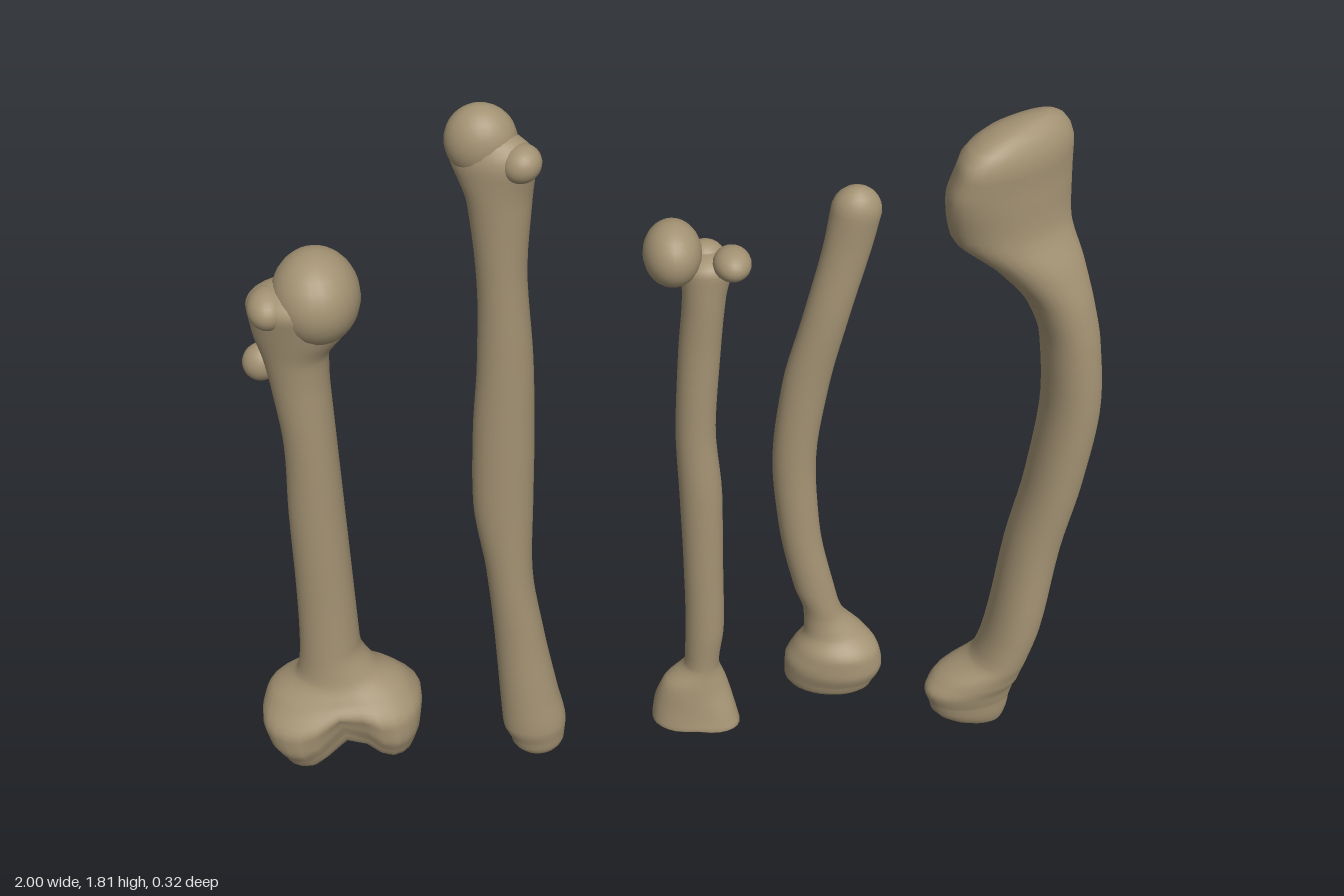
import * as THREE from 'three';

const bone = new THREE.MeshStandardMaterial({ color: 0xa39273 });
bone.name = 'bone tan';

const SIDES = 28, STEPS = 5, CAP = 6;

// Smooth, overshoot-free interpolation of the rows by height
function refine(rows) {
  const full = rows.map(r => [...r.slice(0, 5), r[5] ?? 0, r[6] ?? 1]);
  const slope = (i, k) => (full[i + 1][k] - full[i][k]) / (full[i + 1][0] - full[i][0]);
  const tangent = (i, k) => {
    if (i === 0) return slope(0, k);
    if (i === full.length - 1) return slope(i - 1, k);
    const a = slope(i - 1, k), b = slope(i, k);
    return a * b <= 0 ? 0 : 2 * a * b / (a + b);
  };
  const out = [];
  for (let i = 0; i < full.length - 1; i++) {
    const A = full[i], B = full[i + 1], h = B[0] - A[0];
    for (let s = 0; s < STEPS; s++) {
      const t = s / STEPS, t2 = t * t, t3 = t2 * t;
      out.push(A.map((a, k) => k === 0 ? a + h * t :
        a * (2 * t3 - 3 * t2 + 1) + B[k] * (3 * t2 - 2 * t3) +
        h * (tangent(i, k) * (t3 - 2 * t2 + t) + tangent(i + 1, k) * (t3 - t2))));
    }
  }
  out.push(full[full.length - 1]);
  return out;
}

// Rounded end: rings that shrink toward an apex [x, y, z]
function dome(row, [ax, ay, az]) {
  const rings = [];
  for (let i = 1; i < CAP; i++) {
    const f = i / CAP * Math.PI / 2, c = Math.cos(f), m = 1 - c, r = [...row];
    r[0] = row[0] + (ay - row[0]) * Math.sin(f);
    for (const [k, a] of [[1, ax], [2, ax], [3, az], [4, az]]) r[k] = row[k] * c + a * m;
    rings.push(r);
  }
  return rings;
}

// Loft of rows [y, xMin, xMax, zMin, zMax, shear, squareness] from bottom to top
function loft(name, rows, bottom, top, warp) {
  const mid = refine(rows);
  const rings = [...dome(mid[0], bottom).reverse(), ...mid, ...dome(mid[mid.length - 1], top)];
  const pos = [], idx = [], v = new THREE.Vector3();
  const add = (x, y, z) => { v.set(x, y, z); if (warp) warp(v); pos.push(v.x, v.y, v.z); };
  for (const [y, x0, x1, z0, z1, k, e] of rings) {
    for (let j = 0; j < SIDES; j++) {
      const a = j / SIDES * Math.PI * 2, c = Math.cos(a), s = Math.sin(a);
      const dx = Math.sign(c) * Math.abs(c) ** e * (x1 - x0) / 2;
      const dz = Math.sign(s) * Math.abs(s) ** e * (z1 - z0) / 2;
      add((x0 + x1) / 2 + dx, y, (z0 + z1) / 2 + dz + k * dx);
    }
  }
  const lastRing = (rings.length - 1) * SIDES, p0 = rings.length * SIDES, p1 = p0 + 1;
  add(...bottom);
  add(...top);
  for (let j = 0; j < SIDES; j++) {
    const n = (j + 1) % SIDES;
    idx.push(p0, j, n, p1, lastRing + n, lastRing + j);
    for (let i = 0; i < rings.length - 1; i++) {
      const a = i * SIDES + j, b = i * SIDES + n;
      idx.push(a, a + SIDES, b, b, a + SIDES, b + SIDES);
    }
  }
  const g = new THREE.BufferGeometry();
  g.setAttribute('position', new THREE.Float32BufferAttribute(pos, 3));
  g.setIndex(idx);
  g.computeVertexNormals();
  const m = new THREE.Mesh(g, bone);
  m.name = name;
  return m;
}

// Ellipsoid swelling
function knob(name, [x, y, z], [rx, ry, rz], tilt = 0) {
  const m = new THREE.Mesh(new THREE.SphereGeometry(1, 24, 16), bone);
  m.name = name;
  m.position.set(x, y, z);
  m.scale.set(rx, ry, rz);
  m.rotation.z = tilt;
  return m;
}

function group(name, ...parts) {
  const g = new THREE.Group();
  g.name = name;
  g.add(...parts);
  return g;
}

export function createModel() {
  // Thigh bone: the groove between the two lower lobes is pressed in by a rule
  const groove = v => {
    const t = 1 - THREE.MathUtils.smoothstep(v.y, 0.12, 0.32);
    const d = Math.exp(-(((v.x + 0.785) / 0.07) ** 2)) * t;
    v.z *= 1 - 0.38 * d;
    v.y += 0.06 * d;
  };
  const thigh = group('thighBone',
    loft('thighShaft', [
      [0.1, -0.965, -0.63, -0.11, 0.13, -0.05, 0.75],
      [0.15, -0.99, -0.615, -0.135, 0.15, -0.05, 0.75],
      [0.2, -1.0, -0.61, -0.135, 0.15, -0.05, 0.8],
      [0.26, -0.98, -0.64, -0.11, 0.11, 0, 0.9],
      [0.32, -0.905, -0.71, -0.075, 0.08],
      [0.4, -0.89, -0.745, -0.065, 0.07],
      [0.6, -0.88, -0.745, -0.06, 0.065],
      [0.8, -0.875, -0.745, -0.06, 0.065],
      [1.0, -0.865, -0.745, -0.06, 0.065],
      [1.15, -0.875, -0.745, -0.06, 0.065],
      [1.24, -0.885, -0.74, -0.06, 0.07],
      [1.31, -0.9, -0.69, -0.075, 0.085],
      [1.38, -0.905, -0.67, -0.07, 0.1]],
    [-0.8, 0.04, 0], [-0.82, 1.43, 0.02], groove),
    knob('thighHead', [-0.755, 1.385, 0], [0.096, 0.107, 0.112]),
    knob('outerPeak', [-0.855, 1.385, 0.04], [0.045, 0.045, 0.06]),
    knob('sideBump', [-0.895, 1.195, -0.04], [0.042, 0.045, 0.04], -0.5));

  // Shin bone
  const shin = group('shinBone',
    loft('shinShaft', [
      [0.06, -0.395, -0.26, -0.045, 0.065],
      [0.11, -0.412, -0.255, -0.055, 0.075],
      [0.2, -0.415, -0.27, -0.06, 0.07],
      [0.4, -0.42, -0.3, -0.055, 0.06],
      [0.6, -0.43, -0.32, -0.055, 0.06],
      [0.8, -0.45, -0.31, -0.06, 0.06],
      [1.0, -0.44, -0.3, -0.06, 0.06],
      [1.2, -0.42, -0.295, -0.055, 0.06],
      [1.4, -0.41, -0.3, -0.055, 0.06],
      [1.6, -0.42, -0.282, -0.055, 0.065],
      [1.7, -0.452, -0.268, -0.06, 0.07, 0.2]],
    [-0.32, 0.008, 0.02], [-0.37, 1.77, 0]),
    knob('shinHead', [-0.383, 1.74, -0.008], [0.077, 0.08, 0.066]),
    knob('shinCorner', [-0.302, 1.71, 0.045], [0.044, 0.04, 0.045], 0.5));

  // Slender bone with a ball and a side knob on top
  const slender = group('slenderBone',
    loft('slenderShaft', [
      [0.1, -0.036, 0.183, -0.04, 0.09, 0.12, 0.8],
      [0.15, -0.03, 0.17, -0.04, 0.08, 0.1, 0.85],
      [0.22, -0.01, 0.15, -0.035, 0.07],
      [0.28, 0.045, 0.13, -0.03, 0.06],
      [0.4, 0.046, 0.14, -0.025, 0.065],
      [0.6, 0.04, 0.135, -0.025, 0.065],
      [0.8, 0.03, 0.13, -0.03, 0.065],
      [1.0, 0.02, 0.112, -0.03, 0.06],
      [1.2, 0.025, 0.12, -0.03, 0.06],
      [1.35, 0.033, 0.13, -0.035, 0.065],
      [1.42, 0.03, 0.145, -0.035, 0.065]],
    [0.07, 0.085, 0.02], [0.09, 1.455, 0.01],
    v => { if (v.y < 0.12) v.y += 0.1 * Math.max(0, 0.05 - Math.abs(v.x - 0.07)); }),
    knob('slenderBall', [0.012, 1.46, 0.012], [0.064, 0.073, 0.08]),
    knob('slenderKnob', [0.138, 1.447, 0.045], [0.042, 0.036, 0.052]),
    knob('slenderBackKnob', [0.085, 1.43, -0.015], [0.045, 0.04, 0.04]));

  // Bent forearm bone
  const bent = group('bentBone',
    loft('bentShaft', [
      [0.11, 0.316, 0.54, -0.16, -0.025, 0.15],
      [0.16, 0.315, 0.56, -0.178, -0.008, 0.12],
      [0.21, 0.335, 0.55, -0.175, -0.01, 0.1],
      [0.26, 0.36, 0.51, -0.16, -0.045],
      [0.32, 0.357, 0.455, -0.148, -0.06],
      [0.4, 0.33, 0.43, -0.145, -0.06],
      [0.6, 0.285, 0.385, -0.155, -0.065],
      [0.8, 0.265, 0.37, -0.165, -0.07],
      [1.0, 0.28, 0.39, -0.16, -0.07],
      [1.2, 0.322, 0.428, -0.155, -0.065],
      [1.38, 0.36, 0.47, -0.155, -0.07],
      [1.47, 0.373, 0.488, -0.165, -0.068]],
    [0.4, 0.06, -0.1], [0.43, 1.53, -0.115]));

  // Large curved bone with a wide slanted plateau
  const curved = group('curvedBone',
    loft('curvedShaft', [
      [0.11, 0.668, 0.876, -0.035, 0.08, -0.1],
      [0.15, 0.654, 0.885, -0.05, 0.09, -0.1],
      [0.19, 0.68, 0.893, -0.06, 0.095],
      [0.25, 0.77, 0.907, -0.065, 0.095],
      [0.35, 0.795, 0.93, -0.07, 0.095],
      [0.6, 0.82, 0.955, -0.07, 0.085],
      [0.8, 0.85, 0.985, -0.07, 0.09],
      [1.0, 0.862, 1.0, -0.065, 0.095],
      [1.2, 0.84, 0.975, -0.06, 0.1],
      [1.3, 0.8, 0.95, -0.065, 0.1],
      [1.4, 0.715, 0.92, -0.065, 0.1, -0.15],
      [1.5, 0.605, 0.887, -0.07, 0.095, -0.3],
      [1.6, 0.584, 0.88, -0.075, 0.1, -0.4, 0.9],
      [1.67, 0.6, 0.875, -0.07, 0.1, -0.45, 0.85]],
    [0.845, 0.03, 0.03], [0.79, 1.755, 0]));

  return group('fiveBones', thigh, shin, slender, bent, curved);
}
